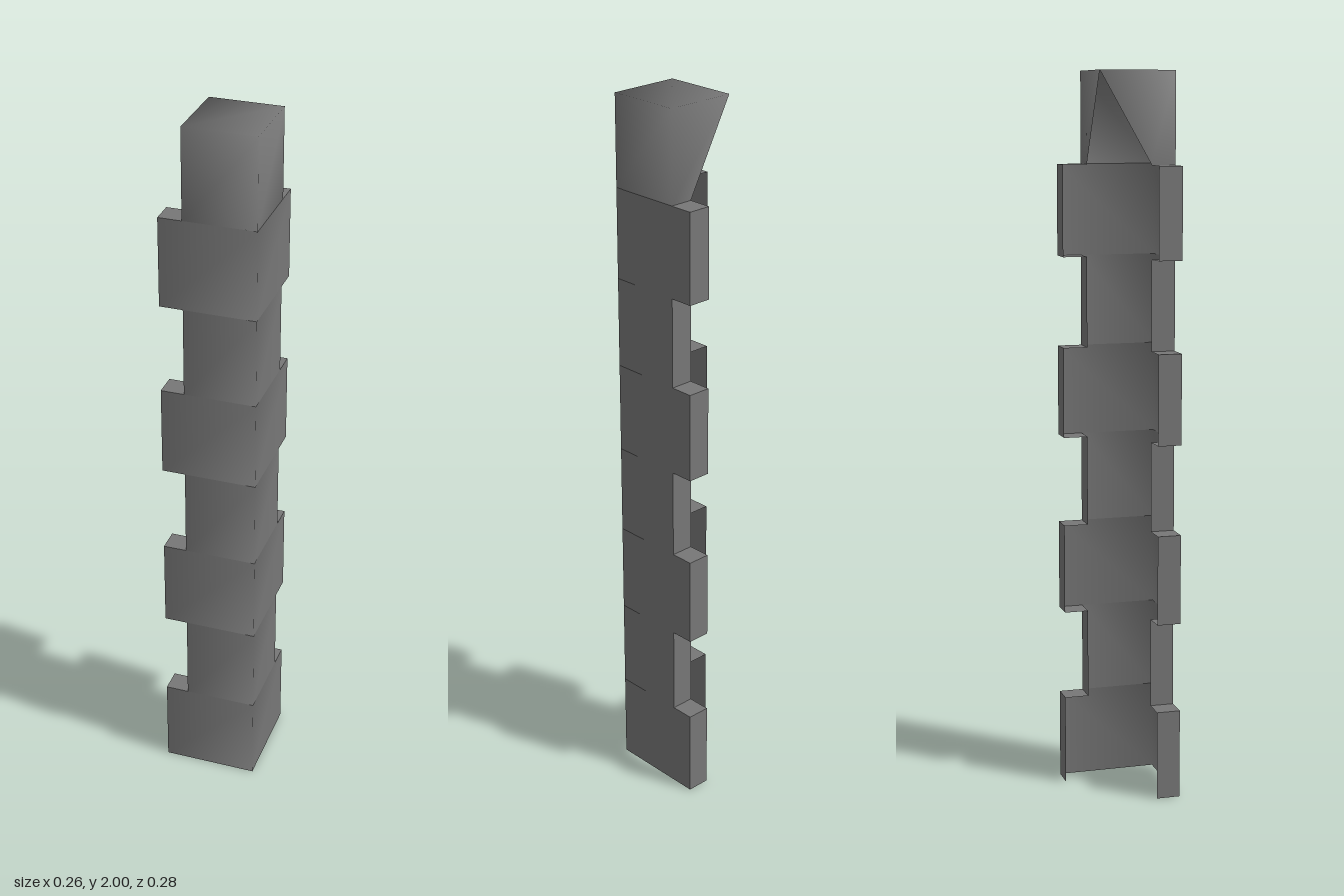
import * as THREE from 'three';

// Hollow corner post: an L-shaped shell whose tiers alternate wide and narrow.
const TIER = 0.25, FRONT = 0.137, SIDE = 0.13, FLANGE = 0.066;
const WIDE = { x: -0.135, z: -0.14 }, NARROW = { x: -0.07, z: -0.073 };

const stone = new THREE.MeshStandardMaterial({ color: 0x777777, side: THREE.DoubleSide });
stone.name = 'grey stone';

// Mesh from corner points and quads; shared corners are shaded smoothly
function quadMesh(name, points, quads) {
  const geo = new THREE.BufferGeometry();
  geo.setAttribute('position', new THREE.Float32BufferAttribute(points.flat(), 3));
  geo.setIndex(quads.flatMap(([a, b, c, d]) => [a, b, c, a, c, d]));
  geo.computeVertexNormals();
  const mesh = new THREE.Mesh(geo, stone);
  mesh.name = name;
  return mesh;
}

// Open section running from the left flange, round the corner, to the back flange
const section = ({ x, z }, y) => [
  [x, y, FRONT - FLANGE], [x, y, FRONT], [SIDE, y, FRONT], [SIDE, y, z], [SIDE - FLANGE, y, z],
];

// One tier: two outer walls round a soft corner, and a flange at each end
function makeTier(size, y) {
  const tier = new THREE.Group();
  const low = section(size, y), high = section(size, y + TIER);
  const strip = (name, from, to) => {
    const n = to - from + 1, quads = [];
    for (let i = 0; i < n - 1; i++) quads.push([i, i + 1, n + i + 1, n + i]);
    tier.add(quadMesh(name, [...low.slice(from, to + 1), ...high.slice(from, to + 1)], quads));
  };
  strip('outerWalls', 1, 3);
  strip('leftFlange', 0, 1);
  strip('backFlange', 3, 4);
  return tier;
}

// Ledges that close the step between a wide and a narrow tier
function makeLedges(y, up) {
  const ledges = new THREE.Group();
  const quad = up ? [0, 1, 2, 3] : [3, 2, 1, 0];
  const rect = (x0, x1, z0, z1) => [[x0, y, z1], [x1, y, z1], [x1, y, z0], [x0, y, z0]];
  ledges.add(
    quadMesh('frontLedge', rect(WIDE.x, NARROW.x, FRONT - FLANGE, FRONT), [quad]),
    quadMesh('backLedge', rect(SIDE - FLANGE, SIDE, WIDE.z, NARROW.z), [quad]),
  );
  ledges.name = 'ledges';
  return ledges;
}

export function createModel() {
  const post = new THREE.Group();
  post.name = 'cornerPost';

  for (let i = 0; i < 7; i++) {
    const wide = i % 2 === 0;
    const tier = makeTier(wide ? WIDE : NARROW, i * TIER);
    tier.name = wide ? 'wideTier' : 'narrowTier';
    post.add(tier, makeLedges((i + 1) * TIER, wide));
  }

  // Cap: square top whose overhanging sides taper down to the flanges
  const y = 8 * TIER;
  const top = [
    [NARROW.x, y, FRONT], [SIDE, y, FRONT], [SIDE, y, NARROW.z], [NARROW.x, y, NARROW.z],
  ];
  post.add(quadMesh('cap', [...section(NARROW, 7 * TIER), ...top], [
    [1, 2, 6, 5], [2, 3, 7, 6], [3, 4, 8, 7], [0, 1, 5, 8], [5, 6, 7, 8],
  ]));
  return post;
}
